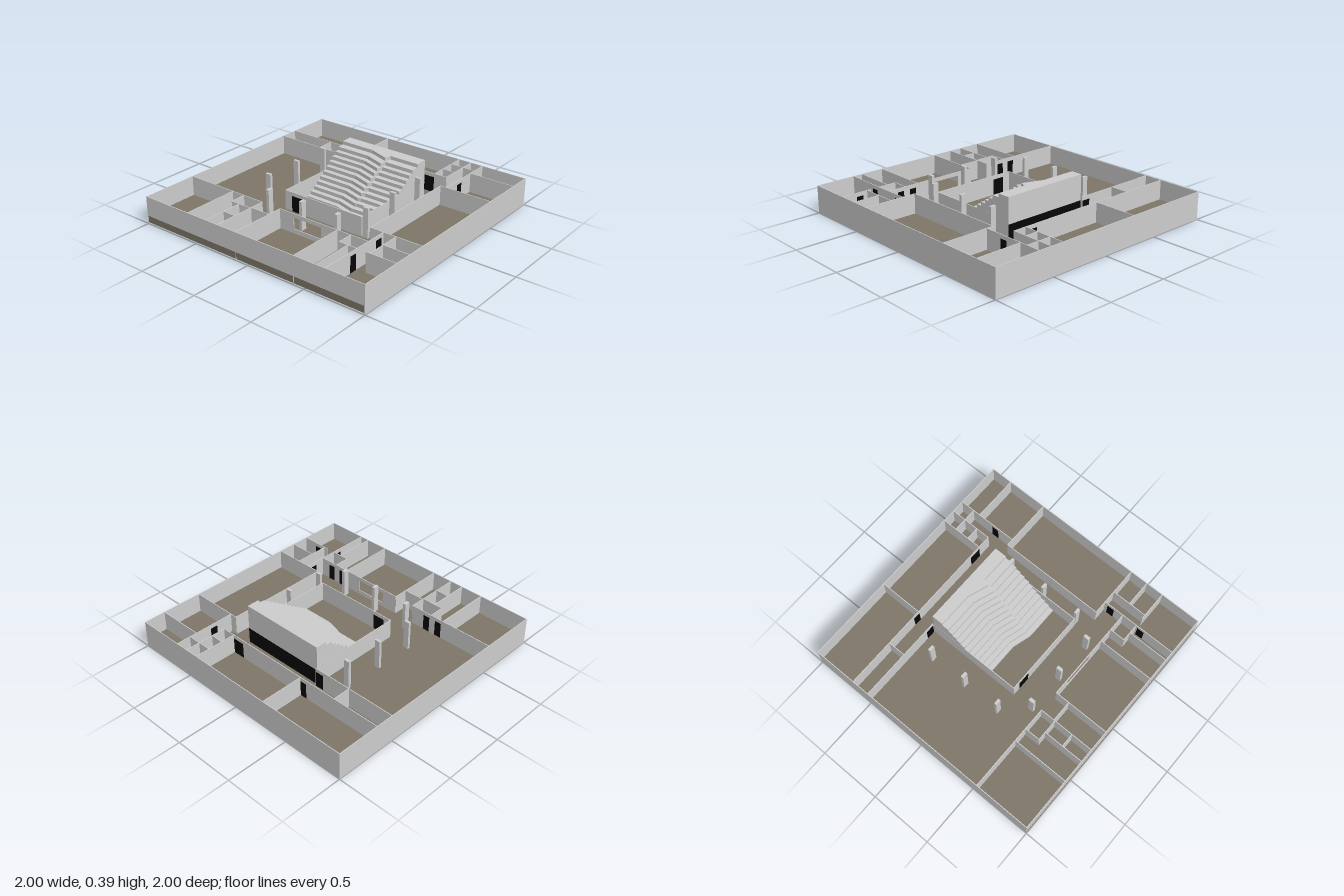
import * as THREE from 'three';

const GREY = new THREE.MeshStandardMaterial({ color: 0xcccccc });
const BROWN = new THREE.MeshStandardMaterial({ color: 0x7d7566 });
const BLACK = new THREE.MeshStandardMaterial({ color: 0x060606 });
const T = 0.006; // wall thickness
const H = 0.22; // wall height
const BASE = 0.012; // underside of the floor slab
const FLOOR = 0.065; // top of the floor slab

// Box given by its lower and upper corners
function block(parent, name, [x0, x1], [y0, y1], [z0, z1], mat = GREY) {
  const m = new THREE.Mesh(new THREE.BoxGeometry(x1 - x0, y1 - y0, z1 - z0), mat);
  m.position.set((x0 + x1) / 2, (y0 + y1) / 2, (z0 + z1) / 2);
  m.name = name;
  parent.add(m);
}
const thick = (a, t) => [a - t / 2, a + t / 2];

// Wall along x at depth z, or along z at x
function wallX(g, name, z, x0, x1, y0 = 0, y1 = H, mat = GREY, t = T) {
  block(g, name, [x0, x1], [y0, y1], thick(z, t), mat);
}
function wallZ(g, name, x, z0, z1, y0 = 0, y1 = H, mat = GREY, t = T) {
  block(g, name, thick(x, t), [y0, y1], [z0, z1], mat);
}

function group(parent, name) {
  const g = new THREE.Group();
  g.name = name;
  parent.add(g);
  return g;
}

// Terraced seating: 12 stacked treads whose bent front edge shifts as they climb
function seating(parent) {
  const g = group(parent, 'terracedSeating');
  const low = [[-0.285, 0.042], [0, 0.042], [0.14, 0.082], [0.17, 0.085], [0.424, 0.085]];
  const high = [[-0.285, -0.395], [0, -0.395], [0.167, -0.337], [0.18, -0.388], [0.424, -0.388]];
  const n = 12, top = 0.39, rise = 0.028;
  for (let i = 0; i < n; i++) {
    const k = i < n - 1 ? 0.087 * i : 1; // the top tread is set further back
    const edge = low.map(([x, z], j) => new THREE.Vector2(
      THREE.MathUtils.lerp(x, high[j][0], k), -THREE.MathUtils.lerp(z, high[j][1], k)));
    const shape = new THREE.Shape([...edge, new THREE.Vector2(0.424, 0.487), new THREE.Vector2(-0.285, 0.487)]);
    const geo = new THREE.ExtrudeGeometry(shape, { depth: rise, bevelEnabled: false });
    geo.rotateX(-Math.PI / 2);
    const m = new THREE.Mesh(geo, GREY);
    m.position.y = top - (n - i) * rise;
    m.name = 'seatingTread';
    g.add(m);
  }
  // Dark recess along the foot of the back
  wallX(g, 'backRecess', -0.487, -0.285, 0.424, 0.01, 0.19, BLACK, 0.002);
}

export function createModel() {
  const model = new THREE.Group();
  model.name = 'courtyardBuilding';

  // Floor slab, its edge showing under the front wall
  block(model, 'floor', [-0.998, 0.998], [BASE, FLOOR], [-0.998, 0.9985], BROWN);

  // Outer walls
  const outer = group(model, 'outerWalls');
  const e = 1 - T / 2;
  wallX(outer, 'backWall', -e, -1, 1);
  wallZ(outer, 'leftWall', e, -1, 1);
  wallZ(outer, 'rightWall', -e, -1, 1);
  for (const [a, b] of [[-1, -0.11], [-0.11, 0.41], [0.41, 1]])
    wallX(outer, 'frontWall', e, a, b, FLOOR);

  // Partitions running across: z, from x, to x
  const inner = group(model, 'partitions');
  for (const [z, a, b] of [
    [-0.645, -1, 0.52], [-0.5, -1, -0.285], [-0.88, 0.41, 0.62], [-0.76, 0.41, 0.52],
    [-0.82, 0.62, 1], [-0.49, 0.565, 1], [0.372, 0.565, 1], [0.52, 0.78, 1],
    [0.665, 0.75, 1], [0.54, -1, -0.28], [0.54, -0.11, 0.02], [0.54, 0.27, 0.675],
    [0.665, 0.525, 0.675], [0.655, -0.28, -0.11], [0.665, -0.46, -0.28], [0.822, -0.39, -0.28],
  ]) wallX(inner, 'crossWall', z, a, b);

  // Partitions running front to back: x, from z, to z
  for (const [x, a, b] of [
    [-0.283, -1, -0.645], [-0.605, -0.645, -0.5], [0.412, -1, -0.645], [0.518, -1, -0.645],
    [0.622, -1, -0.49], [0.567, -0.49, 0.372], [0.677, 0.372, 0.995], [0.782, 0.372, 0.665],
    [0.527, 0.54, 0.665], [0.6, 0.665, 0.995], [0.412, 0.54, 1], [-0.11, 0.54, 1],
    [-0.28, 0.54, 0.995], [-0.46, 0.54, 0.665], [-0.39, 0.665, 0.995], [-0.573, 0.54, 0.995],
  ]) wallZ(inner, 'lengthWall', x, a, b);

  // Wall strips above and below the interior window
  wallX(inner, 'windowSill', 0.54, 0.02, 0.27, 0, 0.1);
  wallX(inner, 'windowHead', 0.54, 0.02, 0.27, 0.19, H);

  // Central court around the seating
  const court = group(model, 'court');
  wallX(court, 'courtFrontWall', 0.282, -0.285, 0.424, 0.01);
  wallZ(court, 'courtRightWall', -0.283, -0.487, 0.282, 0.01);
  wallZ(court, 'courtLeftWall', 0.422, -0.487, 0.282, 0.01);
  seating(model);

  // Dark doors, barely proud of their walls: z, centre x, width
  const doors = group(model, 'doors');
  for (const [z, x, w] of [
    [-0.645, 0.36, 0.1], [-0.645, -0.31, 0.06], [-0.5, -0.325, 0.07], [0.539, -0.42, 0.055],
    [0.539, -0.53, 0.055], [0.539, 0.57, 0.055], [0.539, 0.46, 0.055], [0.664, 0.85, 0.055],
    [0.282, -0.17, 0.1],
  ]) wallX(doors, 'door', z, x - w / 2, x + w / 2, FLOOR, 0.19, BLACK, T + 0.001);
  for (const [x, z] of [[0.622, -0.66], [0.677, 0.71], [0.677, 0.43]])
    wallZ(doors, 'door', x, z - 0.03, z + 0.03, FLOOR, 0.19, BLACK, T + 0.001);

  // Columns on both sides and in front of the court
  const columns = group(model, 'columns');
  for (const z of [-0.358, -0.042, 0.273])
    for (const s of [-1, 1])
      block(columns, 'sideColumn', thick(s * 0.455, 0.045), [FLOOR, 0.3], thick(z, 0.022));
  for (const x of [-0.285, 0.028, 0.345])
    block(columns, 'frontColumn', thick(x, 0.025), [FLOOR, 0.29], thick(0.455, 0.045));

  return model;
}
